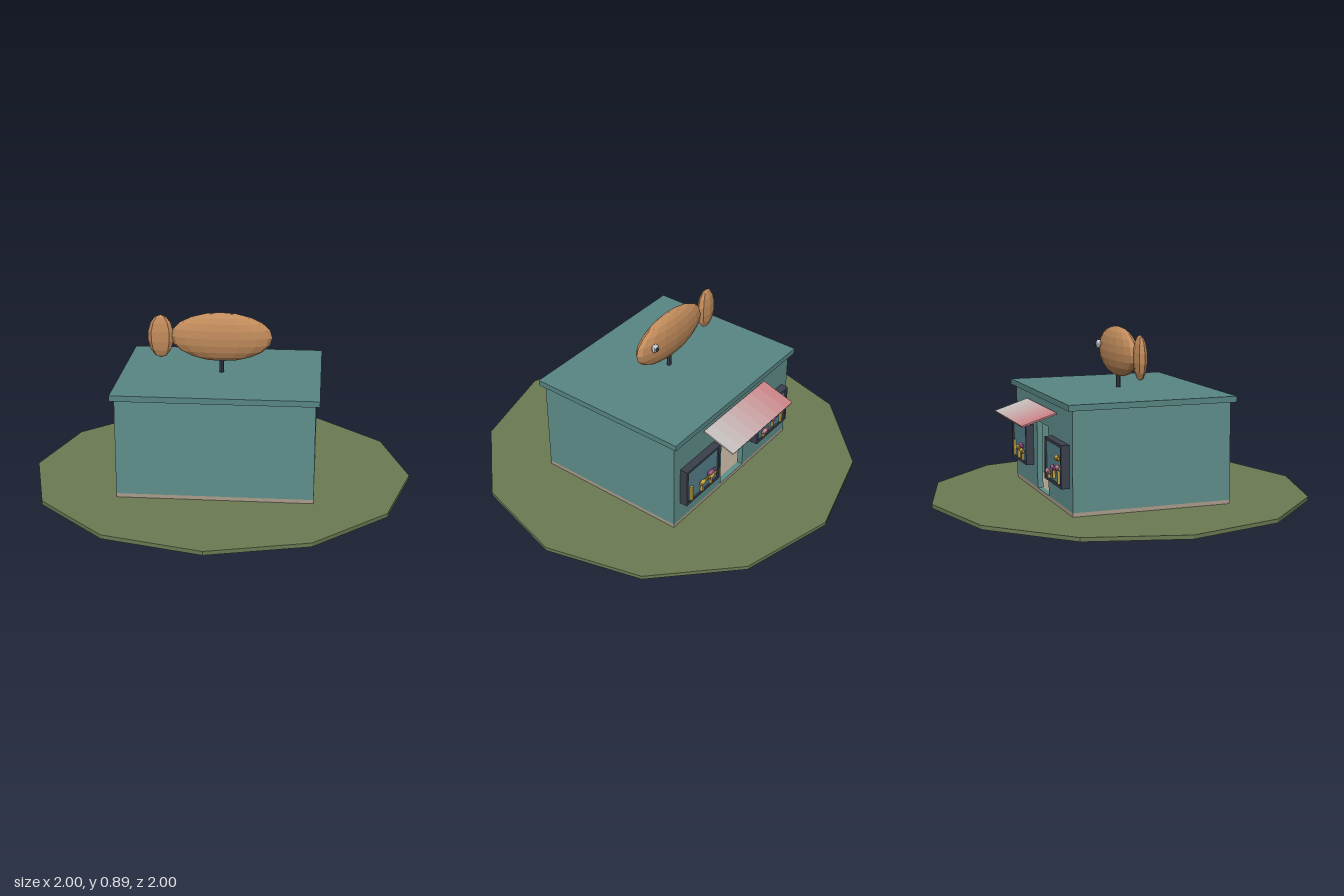
import * as THREE from 'three';

const mat = (color) => new THREE.MeshStandardMaterial({ color, flatShading: true });
const M = {
  grass: mat(0x6b7a53), wall: mat(0x5f8f8b), roof: mat(0x588683), floor: mat(0xab9c8c),
  mat: mat(0xc9b183), dark: mat(0x3b404c), board: mat(0x55808c), fish: mat(0xc28c5c),
  eye: mat(0xe4e4e4), yellow: mat(0xc8a545), pink: mat(0xc98a98), magenta: mat(0xb0609a),
};

function add(parent, name, geometry, material, x = 0, y = 0, z = 0) {
  const mesh = new THREE.Mesh(geometry, material);
  mesh.name = name;
  mesh.position.set(x, y, z);
  parent.add(mesh);
  return mesh;
}

const box = (w, h, d) => new THREE.BoxGeometry(w, h, d);
const ellipsoid = (rx, ry, rz, seg, rings) =>
  new THREE.SphereGeometry(1, seg, rings).scale(rx, ry, rz);

// Rectangle with a rectangular hole, extruded along z
function holedPanel(x0, y0, x1, y1, hole, depth) {
  const rect = (T, a, b, c, d) => {
    const s = new T();
    s.moveTo(a, b); s.lineTo(c, b); s.lineTo(c, d); s.lineTo(a, d); s.closePath();
    return s;
  };
  const shape = rect(THREE.Shape, x0, y0, x1, y1);
  shape.holes.push(rect(THREE.Path, ...hole));
  return new THREE.ExtrudeGeometry(shape, { depth, bevelEnabled: false });
}

function createHouse() {
  const g = new THREE.Group();
  g.name = 'house';
  add(g, 'floor', box(1, 0.02, 0.83), M.floor, 0, 0.03, 0);
  add(g, 'floorMat', box(0.36, 0.006, 0.15), M.mat, 0, 0.043, -0.14);
  add(g, 'frontWall', box(1, 0.5, 0.03), M.wall, 0, 0.29, 0.4);
  for (const s of [-1, 1]) add(g, 'sideWall', box(0.03, 0.5, 0.77), M.wall, s * 0.485, 0.29, 0);
  // Wall with the doorway
  add(g, 'doorWall', holedPanel(-0.5, 0.04, 0.5, 0.54, [-0.1, 0.0401, 0.1, 0.4], 0.03), M.wall, 0, 0, -0.415);
  add(g, 'roof', box(1.04, 0.03, 0.88), M.roof, 0, 0.555, 0);
  return g;
}

// Sloping canopy, fading from pink to pale grey in strips
function createAwning() {
  const g = new THREE.Group();
  g.name = 'awning';
  const n = 8, w = 0.53 / n;
  const from = new THREE.Color(0xcb8487), to = new THREE.Color(0xc6c1bf);
  for (let i = 0; i < n; i++) {
    const m = mat(0xffffff);
    m.color.copy(from).lerp(to, i / (n - 1));
    add(g, 'awningStrip', box(w, 0.008, 0.187), m, -0.265 + (i + 0.5) * w, 0, 0);
  }
  g.position.set(0, 0.463, -0.509);
  g.rotation.x = -0.31;
  return g;
}

// Wall case with pegs and lures; each item is [x, y, stem bottom, material]
function createCase(side, items) {
  const g = new THREE.Group();
  g.name = 'displayCase';
  const w = 0.14, y0 = 0.15, y1 = 0.365, t = 0.014;
  add(g, 'caseFrame', holedPanel(-w, y0, w, y1, [-w + t, y0 + t, w - t, y1 - t], 0.042), M.dark, side * 0.31, 0, -0.457);
  add(g, 'caseBoard', box(2 * w - 0.02, y1 - y0 - 0.02, 0.034), M.board, side * 0.31, (y0 + y1) / 2, -0.432);
  for (const [x, y, low, material] of items) {
    add(g, 'stem', box(0.013, y - low, 0.014), M.yellow, x, (y + low) / 2, -0.455);
    if (!material) continue;
    add(g, 'lure', ellipsoid(0.028, 0.014, 0.011, 8, 6), material, x, y, -0.46);
    add(g, 'lureTail', ellipsoid(0.01, 0.013, 0.007, 6, 4), material, x - 0.033, y, -0.46);
  }
  return g;
}

function createFish() {
  const g = new THREE.Group();
  g.name = 'roofFish';
  add(g, 'pole', new THREE.CylinderGeometry(0.012, 0.012, 0.1, 8), M.dark, 0, 0.61, 0);
  add(g, 'fishBody', ellipsoid(0.265, 0.13, 0.055, 16, 10), M.fish, 0, 0.76, 0);
  add(g, 'fishTail', ellipsoid(0.068, 0.115, 0.03, 8, 7), M.fish, -0.318, 0.757, 0);
  add(g, 'fishEye', ellipsoid(0.023, 0.023, 0.016, 10, 8), M.eye, 0.175, 0.783, -0.047);
  add(g, 'fishPupil', ellipsoid(0.012, 0.012, 0.008, 8, 6), M.dark, 0.178, 0.783, -0.061);
  return g;
}

export function createModel() {
  const model = new THREE.Group();
  model.name = 'fishingShop';
  add(model, 'ground', new THREE.CylinderGeometry(1, 1, 0.02, 12), M.grass, 0, 0.01, 0);
  model.add(createHouse(), createAwning(), createFish());
  model.add(createCase(1, [
    [0.407, 0.25, 0.165, null],
    [0.32, 0.222, 0.165, M.yellow],
    [0.255, 0.243, 0.2, M.magenta],
    [0.245, 0.215, 0.165, M.yellow],
  ]));
  model.add(createCase(-1, [
    [-0.236, 0.2, 0.165, M.pink],
    [-0.32, 0.235, 0.18, M.magenta],
    [-0.385, 0.295, 0.28, M.yellow],
    [-0.4, 0.247, 0.165, M.pink],
  ]));
  return model;
}
